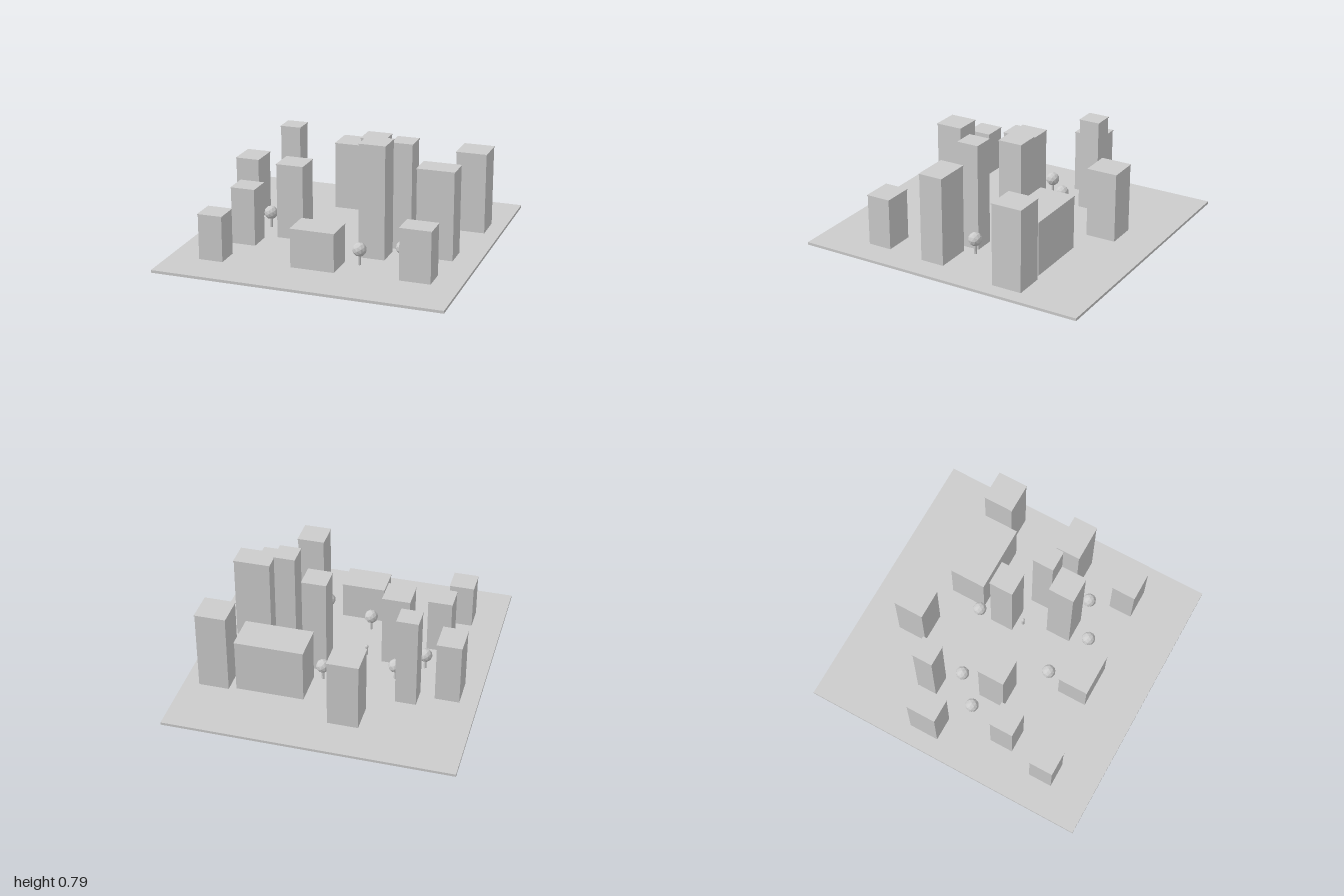
import * as THREE from 'three';

const GROUND = 0.018;
const material = new THREE.MeshStandardMaterial({ color: 0xcccccc, flatShading: true });

function addMesh(parent, name, geometry, x, y, z) {
  const mesh = new THREE.Mesh(geometry, material);
  mesh.name = name;
  mesh.position.set(x, y, z);
  parent.add(mesh);
  return mesh;
}

// Block with a thin, slightly overhanging roof slab
function addBuilding(parent, [x, z, w, d, top]) {
  const building = new THREE.Group();
  building.name = 'building';
  building.position.set(x, 0, z);
  const roof = 0.008, wall = top - roof - GROUND;
  addMesh(building, 'walls', new THREE.BoxGeometry(w - 0.006, wall, d - 0.006), 0, GROUND + wall / 2, 0);
  addMesh(building, 'roof', new THREE.BoxGeometry(w, roof, d), 0, top - roof / 2, 0);
  parent.add(building);
}

// Faceted round crown on a short trunk
function addTree(parent, [x, z]) {
  const tree = new THREE.Group();
  tree.name = 'tree';
  tree.position.set(x, 0, z);
  addMesh(tree, 'trunk', new THREE.CylinderGeometry(0.01, 0.01, 0.07, 8), 0, GROUND + 0.035, 0);
  addMesh(tree, 'crown', new THREE.IcosahedronGeometry(0.047, 1), 0, 0.123, 0);
  parent.add(tree);
}

// Small standing figure: cylinder body and round head
function addFigure(parent, [x, z]) {
  const figure = new THREE.Group();
  figure.name = 'figure';
  figure.position.set(x, 0, z);
  addMesh(figure, 'body', new THREE.CylinderGeometry(0.01, 0.01, 0.056, 8), 0, GROUND + 0.028, 0);
  addMesh(figure, 'head', new THREE.IcosahedronGeometry(0.013, 1), 0, 0.082, 0);
  parent.add(figure);
}

export function createModel() {
  const city = new THREE.Group();
  city.name = 'cityBlock';

  addMesh(city, 'ground', new THREE.BoxGeometry(1.93, GROUND, 2), 0, GROUND / 2, 0);

  // Buildings: x, z, width, depth, height of roof
  const buildings = [
    [-0.169, -0.623, 0.212, 0.212, 0.495],
    [0.377, -0.413, 0.467, 0.255, 0.39],
    [0.757, -0.455, 0.212, 0.212, 0.576],
    [-0.505, -0.331, 0.146, 0.146, 0.662],
    [-0.762, -0.201, 0.17, 0.212, 0.453],
    [0.166, -0.117, 0.17, 0.17, 0.705],
    [0.418, 0.051, 0.148, 0.153, 0.747],
    [0.673, 0.133, 0.255, 0.17, 0.62],
    [-0.339, 0.09, 0.191, 0.191, 0.534],
    [-0.592, 0.301, 0.17, 0.17, 0.409],
    [0.291, 0.261, 0.182, 0.18, 0.788],
    [-0.675, 0.642, 0.17, 0.17, 0.328],
    [-0.002, 0.556, 0.301, 0.212, 0.281],
    [0.672, 0.556, 0.212, 0.17, 0.368],
  ];
  buildings.forEach((b) => addBuilding(city, b));

  const trees = [
    [0.083, -0.286], [-0.38, -0.16], [-0.547, 0.007], [0.545, -0.034],
    [-0.087, 0.345], [0.252, 0.471], [0.503, 0.345],
  ];
  trees.forEach((t) => addTree(city, t));

  [[-0.13, 0.05], [0.166, 0.008]].forEach((f) => addFigure(city, f));

  return city;
}
